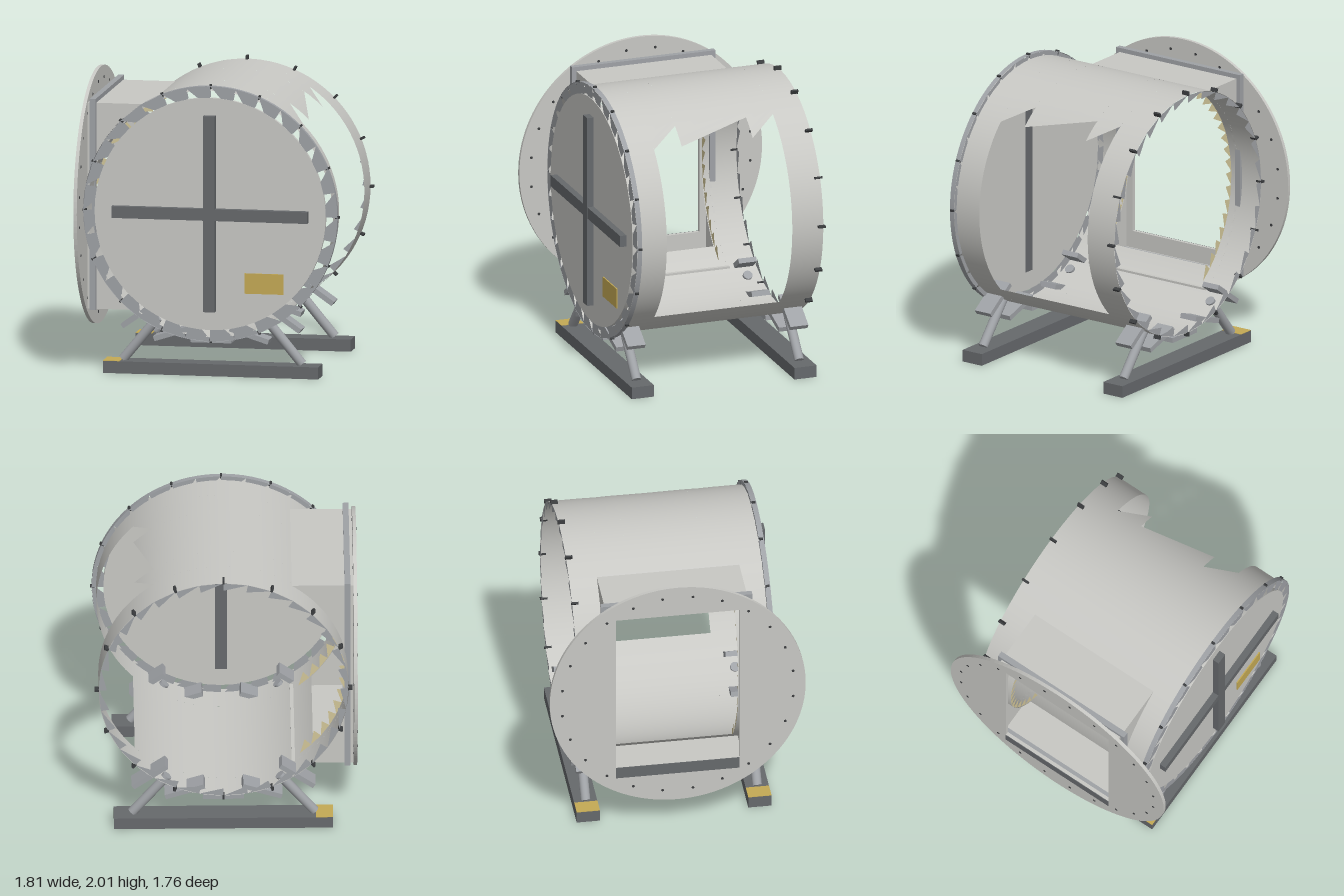
import * as THREE from 'three';

const CX = 0.01, CY = 1.12, R = 0.85, D = Math.PI / 180;
const mat = (name, color, double = false) => {
  const m = new THREE.MeshStandardMaterial({ color, side: double ? THREE.DoubleSide : THREE.FrontSide });
  m.name = name;
  return m;
};

export function createModel() {
  const model = new THREE.Group();
  model.name = 'drumHousing';
  const sheet = mat('light grey sheet', 0xc8c8c4, true);
  const steel = mat('mid grey steel', 0x9fa2a6, true);
  const dark = mat('dark grey beam', 0x66696c);
  const bolt = mat('near black bolt', 0x3c3e40);
  const gold = mat('gold plate', 0xc4aa55);
  const cream = mat('cream edge', 0xd2c699, true);

  const add = (name, geo, material, parent = model) => {
    const m = new THREE.Mesh(geo, material);
    m.name = name;
    parent.add(m);
    return m;
  };
  // Box given by its limits
  const box = (name, x0, x1, y0, y1, z0, z1, material) => {
    const m = add(name, new THREE.BoxGeometry(x1 - x0, y1 - y0, z1 - z0), material);
    m.position.set((x0 + x1) / 2, (y0 + y1) / 2, (z0 + z1) / 2);
    return m;
  };
  const polar = (r, deg, z) => [CX + r * Math.cos(deg * D), CY + r * Math.sin(deg * D), z];

  // Curved shell panel; its start angle may differ at the two z ends
  const panel = (z0, z1, start0, start1, end, r = R, name = 'shellPanel', material = sheet) => {
    const n = Math.ceil((end - Math.min(start0, start1)) / 4);
    const pos = [], nor = [], idx = [];
    for (let i = 0; i <= n; i++) {
      for (const [z, s] of [[z0, start0], [z1, start1]]) {
        const a = s + (end - s) * i / n;
        pos.push(...polar(r, a, z));
        nor.push(Math.cos(a * D), Math.sin(a * D), 0);
      }
      if (i < n) {
        const k = i * 2;
        idx.push(k, k + 2, k + 3, k, k + 3, k + 1);
      }
    }
    const g = new THREE.BufferGeometry();
    g.setAttribute('position', new THREE.Float32BufferAttribute(pos, 3));
    g.setAttribute('normal', new THREE.Float32BufferAttribute(nor, 3));
    g.setIndex(idx);
    return add(name, g, material);
  };

  // Flat saw-toothed ring; tip is the share of each pitch kept at the inner edge
  const teeth = (name, count, a0, a1, rin, rout, z, tip, material, facing = 1) => {
    const pos = [], d = (a1 - a0) / count;
    for (let i = 0; i < count; i++) {
      const a = a0 + i * d;
      const p = [polar(rout, a, z), polar(rout, a + d, z), polar(rin, a + d * tip, z), polar(rin, a, z)];
      const order = facing > 0 ? [0, 1, 2, 0, 2, 3] : [0, 2, 1, 0, 3, 2];
      for (const k of order) pos.push(...p[k]);
    }
    const g = new THREE.BufferGeometry();
    g.setAttribute('position', new THREE.Float32BufferAttribute(pos, 3));
    g.computeVertexNormals();
    add(name, g, material);
  };

  // Drum shell: full bands at both ends, cut open between on both sides
  panel(0.455, 0.68, 0, 0, 360);
  panel(-0.68, -0.455, 0, 0, 360);
  const ductTop = 128, ductBottom = 224;
  for (const [z0, z1, s0, s1] of [
    [-0.455, -0.26, 56.4, 45], [-0.26, 0.255, 56.4, 45], [0.255, 0.455, 56.4, 45],
  ]) panel(z0, z1, s0, s1, ductTop);
  panel(-0.455, 0.455, ductBottom, ductBottom, 315);
  for (const s of [-1, 1]) {
    panel(s > 0 ? 0.425 : -0.455, s > 0 ? 0.455 : -0.425, ductTop, ductTop, ductBottom);
    teeth('ductSeal', 16, 124, 232, 0.79, R, s * 0.43, 0.05, cream, s);
  }

  // Toothed rims at the two ends
  teeth('frontRim', 32, 0, 360, 0.8, 0.88, 0.68, 0.55, steel);
  teeth('frontRimBack', 32, 0, 360, 0.8, 0.88, 0.645, 0.55, steel, -1);
  panel(0.645, 0.68, 0, 0, 360, 0.88, 'frontRimBand', steel);
  teeth('backRim', 32, 0, 360, 0.795, R, -0.68, 0.05, steel, -1);

  // Small clips around both ends
  for (let i = 0; i < 16; i++) {
    const a = i * 22.5;
    for (const [z, len, r] of [[-0.663, 0.05, 0.862], [0.66, 0.025, 0.876]]) {
      const c = add('clip', new THREE.BoxGeometry(0.03, 0.015, len), bolt);
      c.position.set(...polar(r, a, z));
      c.rotation.z = a * D;
    }
  }

  // Front cover with cross bars and plate
  const cover = add('frontCover', new THREE.CylinderGeometry(0.8, 0.8, 0.03, 64), sheet);
  cover.rotation.x = Math.PI / 2;
  cover.position.set(CX, CY, 0.67);
  box('verticalBar', -0.03, 0.05, 0.45, 1.8, 0.653, 0.732, dark);
  box('horizontalBar', -0.665, 0.69, 1.08, 1.16, 0.66, 0.731, dark);
  box('coverPlate', 0.25, 0.52, 0.58, 0.72, 0.686, 0.694, gold);

  // Round side flange with a rectangular opening
  const rect = (w0, w1, h0, h1) => [[w0, h0], [w1, h0], [w1, h1], [w0, h1]].map(p => new THREE.Vector2(...p));
  const disc = new THREE.Shape().absarc(0, CY, 0.88, 0, Math.PI * 2);
  disc.holes.push(new THREE.Path(rect(-0.425, 0.425, 0.545, 1.77)));
  const flange = add('sideFlange', new THREE.ExtrudeGeometry(disc, { depth: 0.024, bevelEnabled: false, curveSegments: 64 }), sheet);
  flange.rotation.y = -Math.PI / 2;
  flange.position.x = -0.876;
  box('openingSill', -0.904, -0.9, 0.46, 0.545, -0.425, 0.425, dark);
  for (let i = 0; i < 24; i++) {
    const a = (i + 0.5) * 15 * D;
    const b = add('flangeBolt', new THREE.CylinderGeometry(0.01, 0.01, 0.03, 8), bolt);
    b.rotation.z = Math.PI / 2;
    b.position.set(-0.888, CY + 0.8 * Math.sin(a), 0.8 * Math.cos(a));
  }

  // Rectangular collar just inside the flange
  const collarShape = new THREE.Shape(rect(-0.52, 0.52, 0.405, 1.86));
  collarShape.holes.push(new THREE.Path(rect(-0.48, 0.48, 0.43, 1.81)));
  const collar = add('ductCollar', new THREE.ExtrudeGeometry(collarShape, { depth: 0.04, bevelEnabled: false }), steel);
  collar.rotation.y = -Math.PI / 2;
  collar.position.x = -0.815;

  // Duct: top, floor and two side walls that end on the drum
  box('ductTop', -0.88, -0.455, 1.815, 1.83, -0.49, 0.49, sheet);
  box('ductFloor', -0.88, -0.455, 0.41, 0.425, -0.49, 0.49, sheet);
  const wall = new THREE.Shape();
  wall.moveTo(-0.88, 0.41).lineTo(-0.88, 1.83);
  for (let i = 0; i <= 20; i++) {
    const [x, y] = polar(R, 123.4 + i * 113.2 / 20, 0);
    wall.lineTo(x, y);
  }
  for (const z of [-0.49, 0.475]) {
    const w = add('ductWall', new THREE.ExtrudeGeometry(wall, { depth: 0.015, bevelEnabled: false }), sheet);
    w.position.z = z;
  }

  // Stands: beam, slanted legs and saddle blades under the drum
  for (const z of [-0.59, 0.59]) {
    box('baseBeam', -0.735, 0.755, 0, 0.083, z - 0.08, z + 0.08, dark);
    box('beamEndPlate', -0.735, -0.62, 0.083, 0.086, z - 0.08, z + 0.08, gold);
    for (const s of [-1, 1]) {
      const foot = new THREE.Vector3(CX + s * 0.62, 0.09, z);
      const head = new THREE.Vector3(CX + s * 0.38, 0.38, z);
      const dir = head.clone().sub(foot);
      const leg = add('leg', new THREE.CylinderGeometry(0.033, 0.033, dir.length(), 20), steel);
      leg.position.copy(foot).add(head).multiplyScalar(0.5);
      leg.quaternion.setFromUnitVectors(new THREE.Vector3(0, 1, 0), dir.normalize());
    }
    for (const a of [-35, -17.5, 0, 17.5, 35]) {
      const blade = add('saddleBlade', new THREE.BoxGeometry(0.28, 0.035, 0.13), steel);
      blade.position.set(...polar(0.875, -90 + a, z));
      blade.rotation.z = -a * D;
    }
  }
  return model;
}
